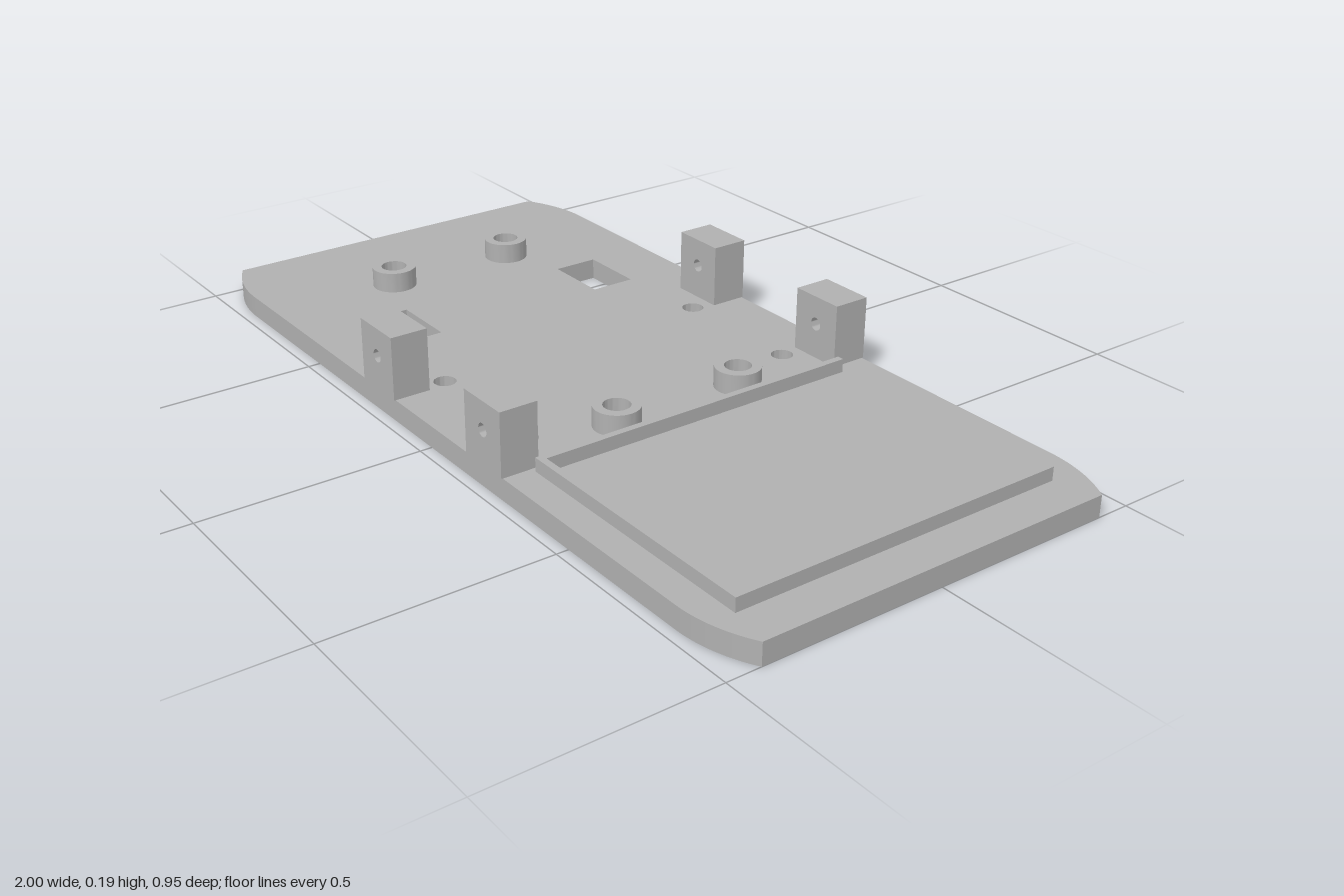
import * as THREE from 'three';
import { toCreasedNormals } from 'three/addons/utils/BufferGeometryUtils.js';

const grey = new THREE.MeshStandardMaterial({ color: 0xb0b0b0 });
grey.name = 'grey plastic';

const T = 0.05; // plate thickness
const HX = 1, HZ = 0.4725; // plate half sizes

function circle(x, y, r) {
  return new THREE.Path().absarc(x, y, r, 0, Math.PI * 2, true);
}

function polygon(points) {
  return new THREE.Path(points.map(([x, y]) => new THREE.Vector2(x, y))).closePath();
}

function rectangle(x0, y0, x1, y1) {
  return polygon([[x0, y0], [x0, y1], [x1, y1], [x1, y0]]);
}

function hexagon(x, y, r) {
  const points = [];
  for (let i = 0; i < 6; i++) {
    const a = -i * Math.PI / 3;
    points.push([x + r * Math.cos(a), y + r * Math.sin(a)]);
  }
  return polygon(points);
}

function extrude(shape, depth) {
  const g = new THREE.ExtrudeGeometry(shape, { depth, bevelEnabled: false, curveSegments: 24 });
  return toCreasedNormals(g, 0.6);
}

// Extrudes a plan outline upward from height y
function extrudeUp(shape, y, height) {
  return extrude(shape, height).rotateX(-Math.PI / 2).translate(0, y, 0);
}

export function createModel() {
  const model = new THREE.Group();
  model.name = 'mountingPlate';
  const add = (name, geometry) => {
    const mesh = new THREE.Mesh(geometry, grey);
    mesh.name = name;
    model.add(mesh);
    return mesh;
  };

  // Base plate outline: long sides curve in towards the straight ends
  const dx = 0.175, dz = 0.05;
  const R = (dx * dx + dz * dz) / (2 * dz);
  const sweep = Math.asin(dx / R), q = Math.PI / 2;
  const cx = HX - dx, cy = HZ - R;
  const plate = new THREE.Shape();
  plate.moveTo(HX, -HZ + dz);
  plate.absarc(cx, cy, R, q - sweep, q, false);
  plate.absarc(-cx, cy, R, q, q + sweep, false);
  plate.absarc(-cx, -cy, R, 3 * q - sweep, 3 * q, false);
  plate.absarc(cx, -cy, R, 3 * q, 3 * q + sweep, false);

  for (const s of [-1, 1]) {
    // Slots, small screw holes and nut pockets
    plate.holes.push(s > 0 ? rectangle(-0.55, 0.215, -0.39, 0.323) : rectangle(-0.55, -0.323, -0.39, -0.215));
    for (const x of [-0.165, 0.158]) plate.holes.push(circle(x, s * 0.34, 0.025));
    for (const x of [-0.702, 0.221]) plate.holes.push(hexagon(x, s * 0.16, 0.037));
  }
  add('basePlate', extrudeUp(plate, 0, T));

  for (const s of [-1, 1]) {
    // Ring standoffs
    for (const x of [-0.702, 0.221]) {
      const ring = new THREE.Shape().absarc(x, s * 0.16, 0.052, 0, Math.PI * 2, false);
      ring.holes.push(circle(x, s * 0.16, 0.03));
      add('standoff', extrudeUp(ring, T, 0.048));
    }
    // Upright lugs with a cross hole, standing on the long edges
    for (const x of [-0.211, 0.21]) {
      const w = 0.065;
      const lug = new THREE.Shape();
      lug.moveTo(x - w, T).lineTo(x + w, T).lineTo(x + w, 0.195).lineTo(x - w, 0.195).closePath();
      lug.holes.push(circle(x, 0.13, 0.015));
      add('lug', extrude(lug, 0.087).translate(0, 0, s > 0 ? 0.389 : -0.476));
    }
  }

  // Three-sided tray rim, open at the back
  const x0 = 0.288, x1 = 0.906, back = 0.388, front = -0.405, t = 0.016;
  const rim = new THREE.Shape([
    [x0, back], [x0, front], [x1, front], [x1, back],
    [x1 - t, back], [x1 - t, front + t], [x0 + t, front + t], [x0 + t, back],
  ].map(([x, y]) => new THREE.Vector2(x, y)));
  add('trayRim', extrudeUp(rim, T, 0.031));

  return model;
}
